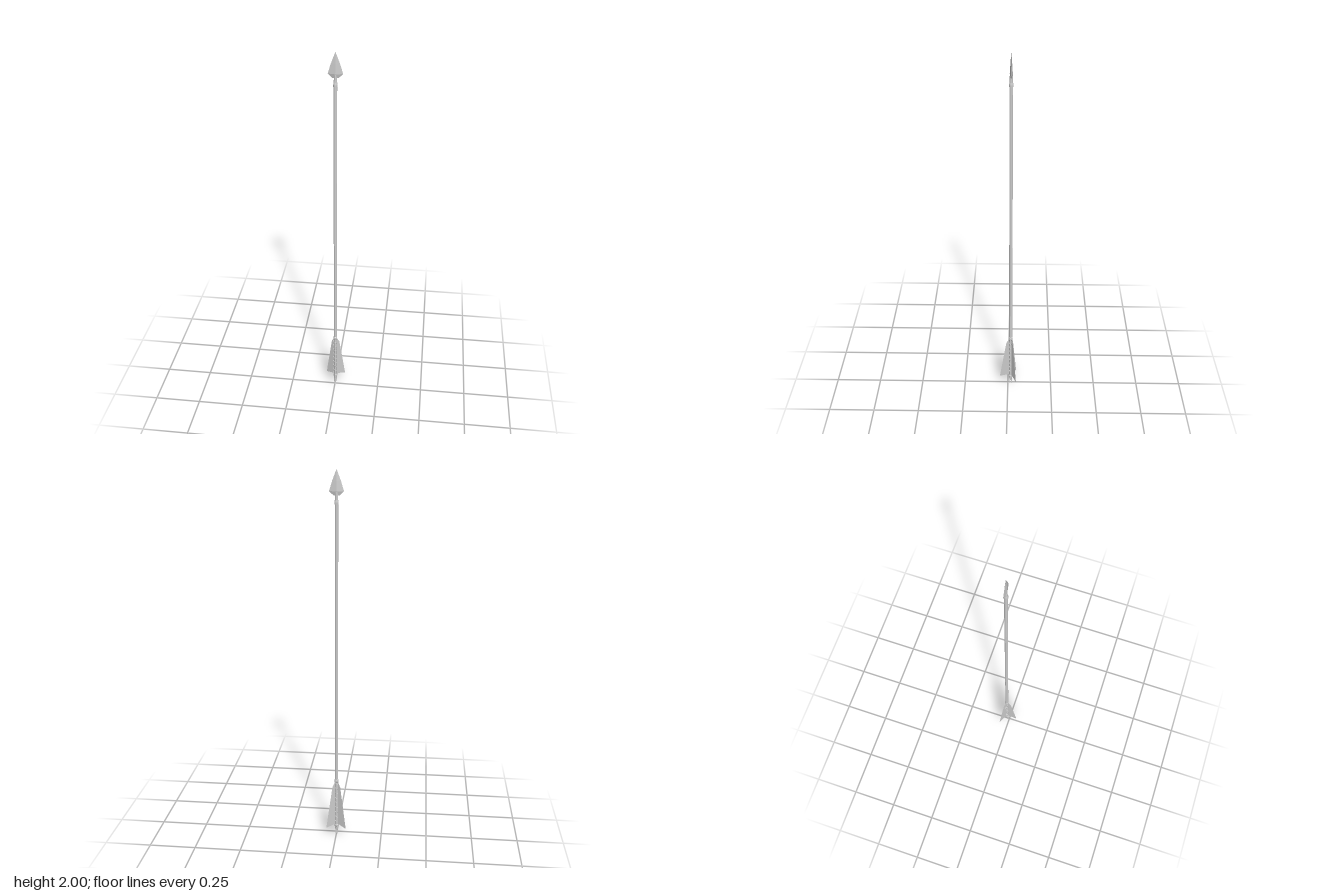
import * as THREE from 'three';

export function createModel() {
  const root = new THREE.Group();
  const arrow = new THREE.Group();
  arrow.name = 'arrow';
  arrow.position.z = -0.016;
  root.add(arrow);

  const solid = new THREE.MeshStandardMaterial({ color: 0xcccccc, flatShading: true });
  const thin = new THREE.MeshStandardMaterial({ color: 0xcccccc, side: THREE.DoubleSide });

  const add = (name, geometry, material = solid, parent = arrow) => {
    const mesh = new THREE.Mesh(geometry, material);
    mesh.name = name;
    parent.add(mesh);
    return mesh;
  };
  // Turned part from [radius, height] pairs, bottom to top
  const turned = (name, profile) =>
    add(name, new THREE.LatheGeometry(profile.map(([r, y]) => new THREE.Vector2(r, y)), 10));

  // Shaft, head socket and bindings
  turned('shaft', [[0, 0.04], [0.0088, 0.04], [0.0088, 1.84], [0, 1.84]]);
  turned('headSocket', [[0, 1.83], [0.0108, 1.83], [0.0108, 1.84], [0.0085, 1.852], [0.007, 1.89], [0, 1.89]]);
  turned('upperBinding', [[0.0088, 0.315], [0.0108, 0.318], [0.0108, 0.332], [0.0088, 0.335]]);
  turned('lowerBinding', [[0.0088, 0.042], [0.0108, 0.045], [0.0108, 0.055], [0.0088, 0.058]]);

  // Nock with a string slot between two prongs
  turned('nock', [[0, 0.02], [0.007, 0.02], [0.0088, 0.044], [0, 0.044]]);
  for (const side of [-1, 1]) {
    const prong = add('nockProng', new THREE.BoxGeometry(0.01, 0.024, 0.004));
    prong.position.set(0, 0.012, side * 0.005);
  }

  // Flat diamond-section head: a four-sided lathe squashed in depth
  const head = new THREE.LatheGeometry(
    [[0, 1.872], [0.015, 1.873], [0.037, 1.893], [0.022, 1.942], [0, 2]]
      .map(([r, y]) => new THREE.Vector2(r, y)), 4);
  head.scale(1, 1, 0.2);
  add('arrowhead', head);

  // Three feather vanes spaced evenly round the shaft
  const outline = new THREE.Shape(
    [[0.006, 0.06], [0.0625, 0.045], [0.025, 0.29], [0.006, 0.327]]
      .map(([r, y]) => new THREE.Vector2(r, y)));
  const vane = new THREE.ShapeGeometry(outline);
  for (let i = 0; i < 3; i++) {
    add('vane', vane, thin).rotation.y = -Math.PI / 2 + (i * Math.PI * 2) / 3;
  }

  // Thread wound in a spiral over the feathers
  const turns = 9;
  const points = [];
  for (let i = 0; i <= turns * 10; i++) {
    const a = (i / 10) * Math.PI * 2;
    points.push(new THREE.Vector3(Math.cos(a) * 0.0095, 0.055 + (0.262 * i) / (turns * 10), Math.sin(a) * 0.0095));
  }
  add('bindingThread', new THREE.TubeGeometry(new THREE.CatmullRomCurve3(points), turns * 12, 0.0013, 5));

  return root;
}
